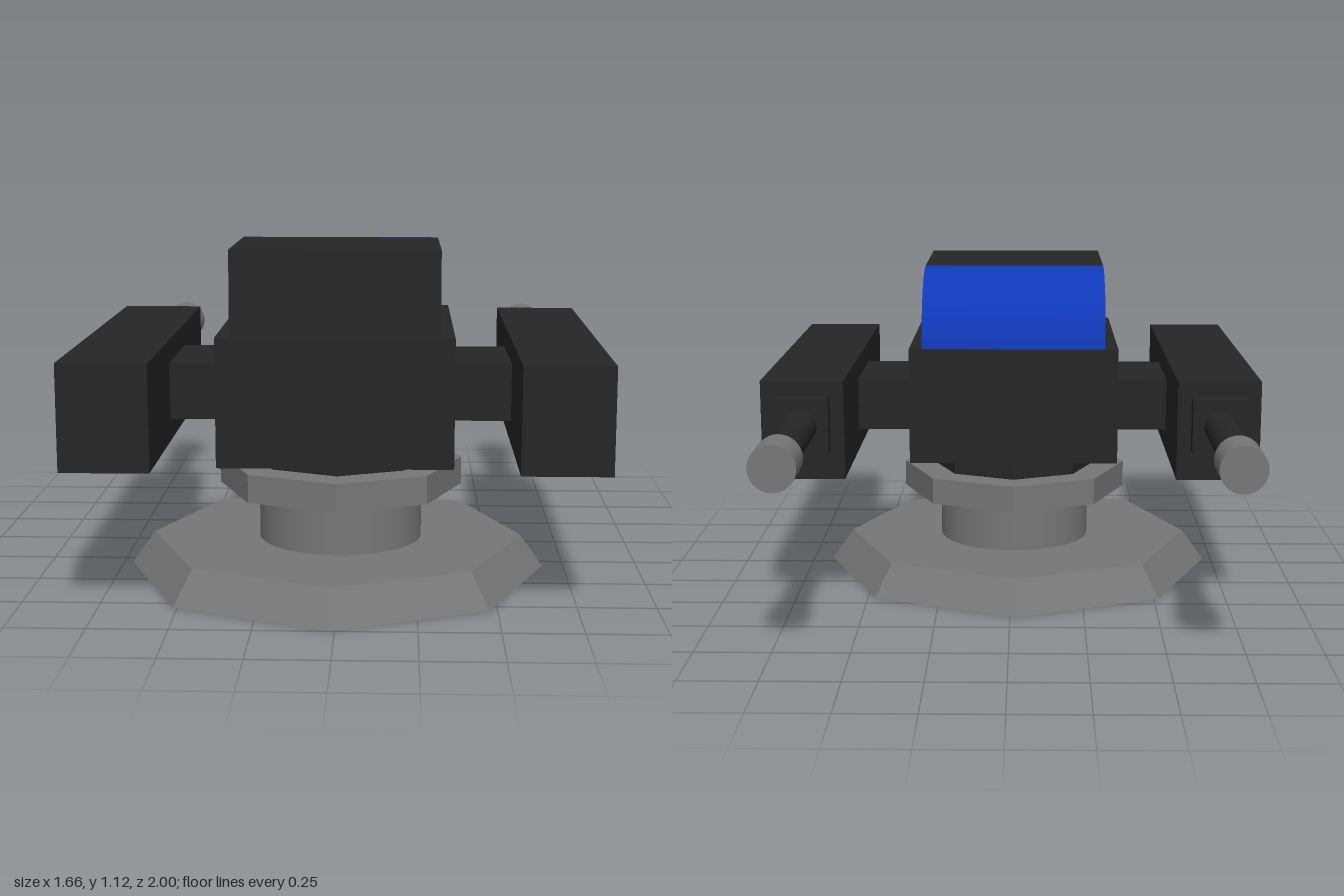
import * as THREE from 'three';
import { toCreasedNormals } from 'three/addons/utils/BufferGeometryUtils.js';

const grey = new THREE.MeshStandardMaterial({ color: 0x777777 });
const greyFlat = new THREE.MeshStandardMaterial({ color: 0x777777, flatShading: true });
const dark = new THREE.MeshStandardMaterial({ color: 0x262626 });
const darkFlat = new THREE.MeshStandardMaterial({ color: 0x262626, flatShading: true });
const blue = new THREE.MeshStandardMaterial({ color: 0x1038b8 });

export function createModel() {
  const model = new THREE.Group();
  model.name = 'turret';

  const add = (parent, name, geometry, material) => {
    const mesh = new THREE.Mesh(geometry, material);
    mesh.name = name;
    parent.add(mesh);
    return mesh;
  };

  // Box given by its limits on each axis
  const box = (parent, name, [x0, x1], [y0, y1], [z0, z1]) =>
    add(parent, name, new THREE.BoxGeometry(x1 - x0, y1 - y0, z1 - z0), dark)
      .position.set((x0 + x1) / 2, (y0 + y1) / 2, (z0 + z1) / 2);

  // Upright disc between two heights
  const disc = (name, x, rTop, rBottom, y0, y1, sides, material) =>
    add(model, name, new THREE.CylinderGeometry(rTop, rBottom, y1 - y0, sides), material)
      .position.set(x, (y0 + y1) / 2, 0.3);

  // Pedestal
  disc('basePlate', -0.02, 0.622, 0.7, 0, 0.11, 8, greyFlat);
  disc('column', -0.007, 0.273, 0.273, 0.11, 0.29, 48, grey);
  disc('collar', -0.007, 0.407, 0.407, 0.287, 0.38, 8, greyFlat);
  disc('neck', -0.007, 0.302, 0.302, 0.38, 0.446, 8, darkFlat);

  // Central body
  box(model, 'body', [-0.375, 0.36], [0.445, 0.852], [-0.02, 0.775]);

  // Side profiles are drawn as (z, y) and extruded across x
  const extrudeAcross = (shape, x0, x1) => {
    const geometry = new THREE.ExtrudeGeometry(shape, { depth: x1 - x0, bevelEnabled: false, curveSegments: 20 });
    geometry.rotateY(-Math.PI / 2);
    geometry.translate(x1, 0, 0);
    return toCreasedNormals(geometry, 0.5);
  };

  // Cabin block behind the window
  const cabin = new THREE.Shape();
  cabin.moveTo(0.27, 0.85);
  cabin.lineTo(0.77, 0.85);
  cabin.lineTo(0.76, 1.12);
  cabin.lineTo(0.27, 1.115);
  add(model, 'cabin', extrudeAcross(cabin, -0.33, 0.315), dark);

  // Rounded window: dark cheeks, blue curved face
  const canopy = new THREE.Shape();
  canopy.moveTo(-0.008, 0.85);
  canopy.lineTo(0.27, 0.85);
  canopy.lineTo(0.27, 1.115);
  canopy.bezierCurveTo(0.12, 1.11, 0.01, 1.01, -0.008, 0.85);
  add(model, 'canopy', extrudeAcross(canopy, -0.33, 0.315), [dark, blue]);

  // Gun pods on both sides
  for (const side of [-1, 1]) {
    const pod = new THREE.Group();
    pod.name = side > 0 ? 'leftGun' : 'rightGun';
    model.add(pod);
    const x = side > 0 ? 0.69 : -0.693;
    box(pod, 'gunHousing', [x - 0.138, x + 0.138], [0.467, 0.8], [-0.348, 0.945]);
    box(pod, 'gunArm', side > 0 ? [0.35, 0.56] : [-0.56, -0.365], [0.54, 0.725], [0.11, 0.482]);
    box(pod, 'barrelMount', [x - 0.092, x + 0.092], [0.568, 0.75], [-0.402, -0.34]);

    const tube = (name, r, z0, z1, material) => {
      const geometry = new THREE.CylinderGeometry(r, r, z1 - z0, 32).rotateX(Math.PI / 2);
      add(pod, name, geometry, material).position.set(x, 0.658, (z0 + z1) / 2);
    };
    tube('barrel', 0.054, -0.86, -0.4, dark);
    tube('muzzle', 0.073, -1, -0.855, grey);
  }

  return model;
}
